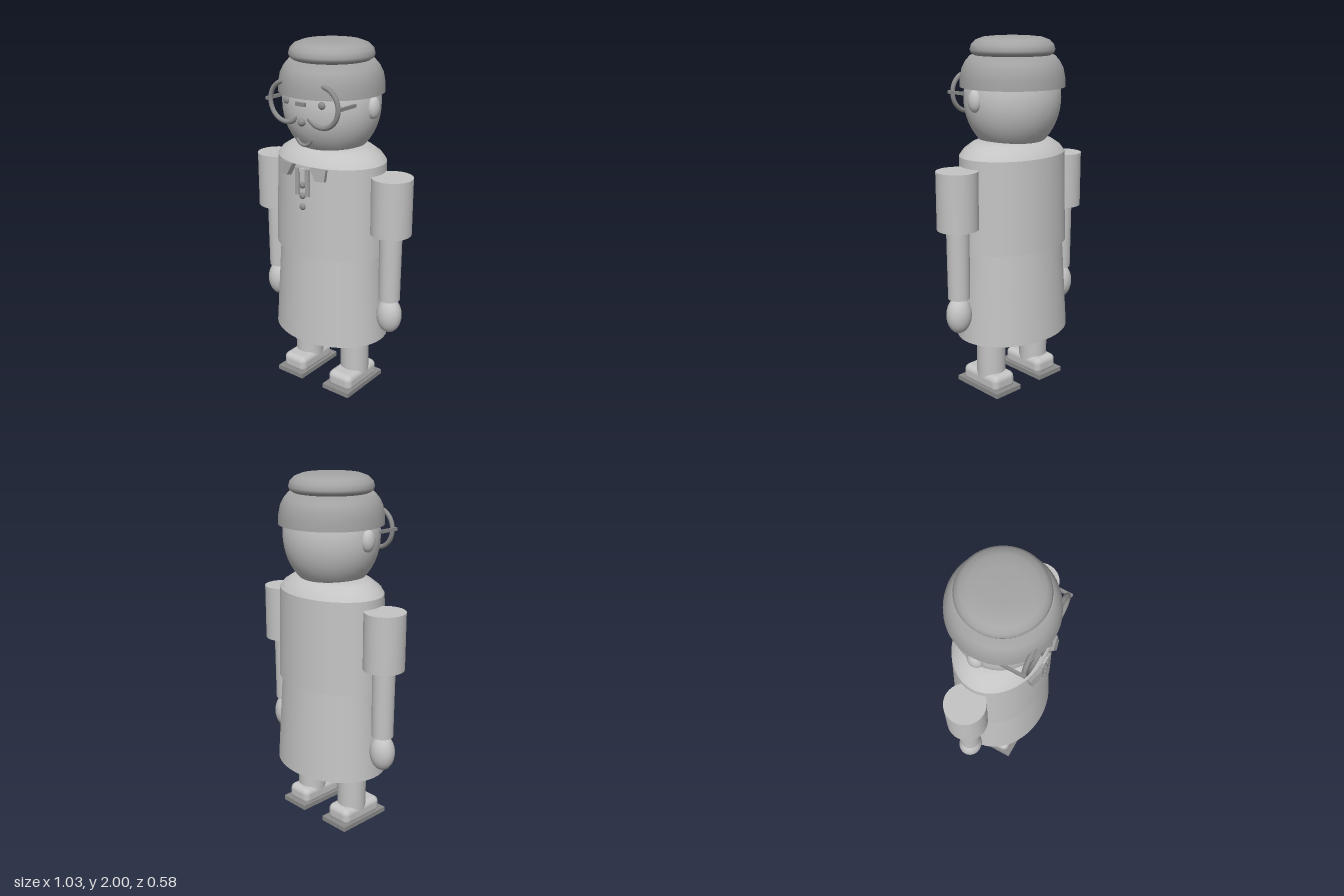
import * as THREE from 'three';
import { RoundedBoxGeometry } from 'three/addons/geometries/RoundedBoxGeometry.js';

const light = new THREE.MeshStandardMaterial({ color: 0xc4c4c4 });
light.name = 'light grey';
const mid = new THREE.MeshStandardMaterial({ color: 0xa4a4a4 });
mid.name = 'mid grey';
const dark = new THREE.MeshStandardMaterial({ color: 0x8c8c8c });
dark.name = 'dark grey';

export function createModel() {
  const model = new THREE.Group();
  model.name = 'figure';

  const add = (name, geometry, material, x = 0, y = 0, z = 0) => {
    const mesh = new THREE.Mesh(geometry, material);
    mesh.name = name;
    mesh.position.set(x, y, z);
    model.add(mesh);
    return mesh;
  };
  const tube = (top, bottom, y0, y1) =>
    new THREE.CylinderGeometry(top, bottom, y1 - y0, 48).translate(0, (y0 + y1) / 2, 0);
  const ball = (rx, ry, rz) => new THREE.SphereGeometry(1, 40, 28).scale(rx, ry, rz);
  const lathe = (points) =>
    new THREE.LatheGeometry(points.map(([r, y]) => new THREE.Vector2(r, y)), 56);
  const box = (w, h, d) => new THREE.BoxGeometry(w, h, d);

  // Oval dress
  add('skirt', tube(0.315, 0.35, 0.33, 0.85).scale(1, 1, 0.8), light);
  add('torso', tube(0.328, 0.343, 0.85, 1.365).scale(1, 1, 0.755), light);
  add('shoulders', lathe([[0.328, 1.365], [0.3, 1.4], [0.25, 1.432], [0.195, 1.45], [0, 1.452]])
    .scale(1, 1, 0.755), light);

  // Head with swept hair and a flattened bun
  add('head', ball(0.275, 0.31, 0.258), light, 0, 1.67);
  add('hair', lathe([[0.288, 1.73], [0.286, 1.78], [0.276, 1.83], [0.258, 1.865], [0.23, 1.897], [0, 1.91]]), mid);
  add('hairUnderside', new THREE.CircleGeometry(0.288, 56).rotateX(Math.PI / 2), mid, 0, 1.73);
  add('bun', lathe([[0, 1.895], [0.205, 1.897], [0.225, 1.91], [0.231, 1.928], [0.223, 1.955],
    [0.2, 1.978], [0.16, 1.993], [0.1, 1.999], [0, 2]]), mid);

  // Face
  add('nose', ball(0.022, 0.022, 0.022), dark, 0, 1.602, 0.255);
  add('mouth', new THREE.TorusGeometry(0.05, 0.009, 10, 24, Math.PI * 0.8)
    .rotateZ(Math.PI * 1.1), dark, 0, 1.525, 0.237);
  add('glassesBridge', box(0.06, 0.02, 0.02), dark, 0, 1.697, 0.26);

  // Dress front
  add('placketTop', box(0.05, 0.02, 0.02), light, 0, 1.34, 0.248);
  for (const y of [1.26, 1.2, 1.137]) add('button', ball(0.018, 0.018, 0.014), dark, 0, y, 0.257);

  // Mirrored parts
  for (const s of [-1, 1]) {
    const side = s > 0 ? 'left' : 'right';
    const part = (name, ...rest) => add(side + name, ...rest);

    part('Sleeve', tube(0.113, 0.113, 1, 1.317), light, s * 0.402);
    part('Arm', tube(0.063, 0.06, 0.608, 1.01), light, s * 0.403);
    part('Hand', ball(0.073, 0.105, 0.067), light, s * 0.405, 0.51);

    part('Leg', tube(0.083, 0.083, 0.08, 0.34), light, s * 0.17);
    part('Shoe', new RoundedBoxGeometry(0.16, 0.1, 0.285, 4, 0.035), light, s * 0.17, 0.06, 0.02);
    part('Sole', box(0.184, 0.028, 0.34), dark, s * 0.17, 0.014, 0.02);

    part('Ear', ball(0.032, 0.06, 0.042), light, s * 0.273, 1.67);
    part('Eye', ball(0.02, 0.02, 0.015), dark, s * 0.117, 1.7, 0.235);
    part('GlassesRim', new THREE.TorusGeometry(0.107, 0.013, 12, 56), dark, s * 0.118, 1.692, 0.24);
    part('GlassesTemple', box(0.014, 0.018, 0.14), dark, s * 0.24, 1.697, 0.185);

    // Slanted collar flap and placket strip
    const flap = new THREE.Shape([[0.055, 1.365], [0.148, 1.36], [0.143, 1.297], [0.09, 1.297]]
      .map(([x, y]) => new THREE.Vector2(s * x, y - 1.33)));
    const collar = part('Collar', new THREE.ExtrudeGeometry(flap, { depth: 0.03, bevelEnabled: false }),
      mid, 0, 1.33, 0.235);
    collar.rotation.set(-0.2, s * 0.25, 0, 'YXZ');
    collar.position.z = 0.26;
    part('Placket', box(0.024, 0.15, 0.02), mid, s * 0.034, 1.277, 0.253);
  }
  return model;
}
